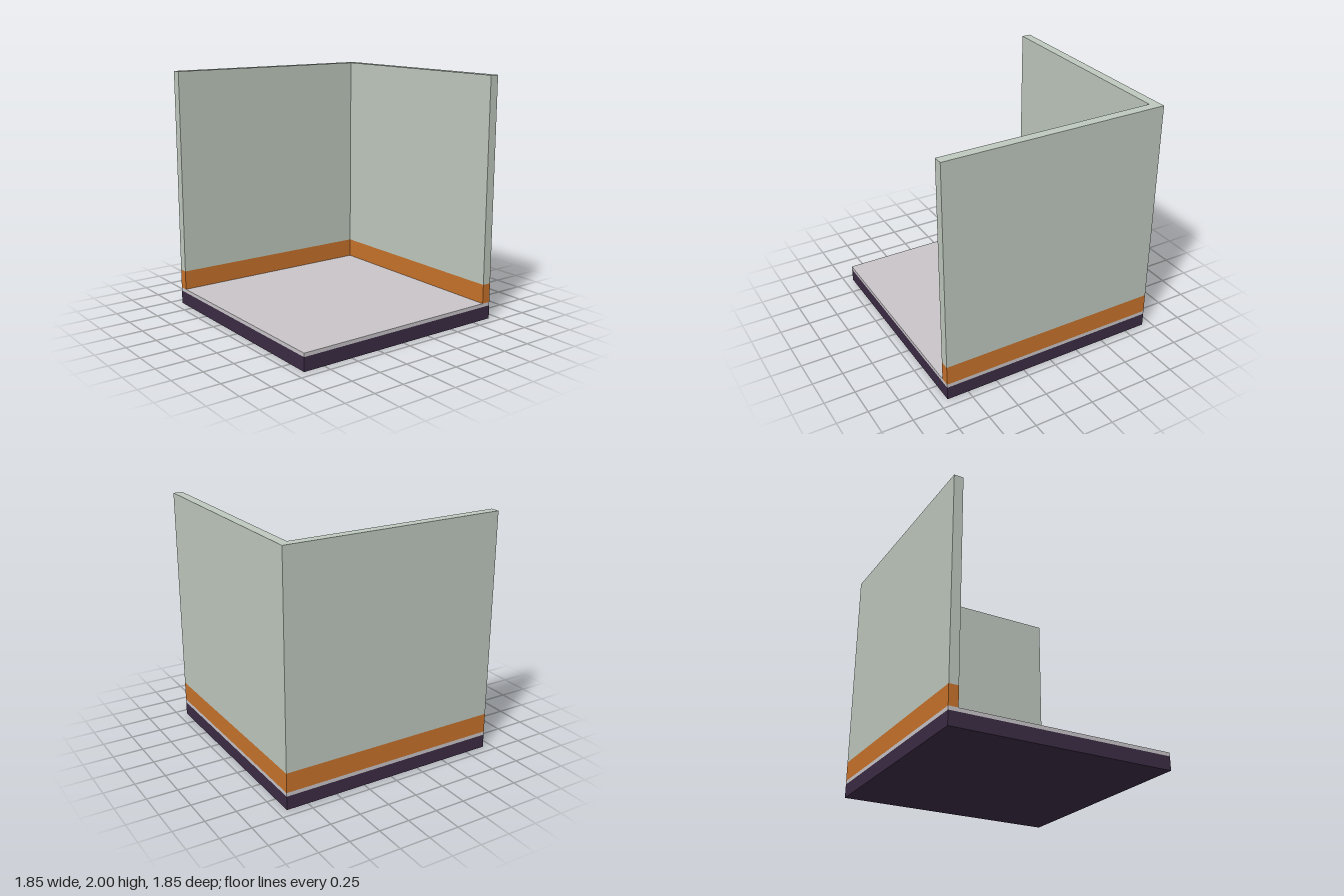
import * as THREE from 'three';

const H = 0.927; // half width of the room
const I = 0.85;  // inner face of the walls

const material = (name, color) => {
  const m = new THREE.MeshStandardMaterial({ color });
  m.name = name;
  return m;
};

export function createModel() {
  const room = new THREE.Group();
  room.name = 'roomCorner';

  const purple = material('dark purple', 0x3c2c45);
  const grey = material('pale grey', 0xc9c5c9);
  const orange = material('orange', 0xc8732b);
  const sage = material('sage green', 0xbfc9bf);

  const add = (name, geometry, mat) => {
    const mesh = new THREE.Mesh(geometry, mat);
    mesh.name = name;
    room.add(mesh);
  };

  // Square floor layer between two heights
  const slab = (y0, y1) =>
    new THREE.BoxGeometry(2 * H, y1 - y0, 2 * H).translate(0, (y0 + y1) / 2, 0);

  // L-shaped wall band along the back and right sides
  const plan = new THREE.Shape(
    [[-H, -H], [-I, -H], [-I, I], [H, I], [H, H], [-H, H]].map(([x, y]) => new THREE.Vector2(x, y))
  );
  const wall = (y0, y1) =>
    new THREE.ExtrudeGeometry(plan, { depth: y1 - y0, bevelEnabled: false })
      .rotateX(-Math.PI / 2)
      .translate(0, y0, 0);

  add('base', slab(0, 0.112), purple);
  add('floor', slab(0.112, 0.142), grey);
  add('skirtingBand', wall(0.142, 0.302), orange);
  add('walls', wall(0.302, 2), sage);

  return room;
}
